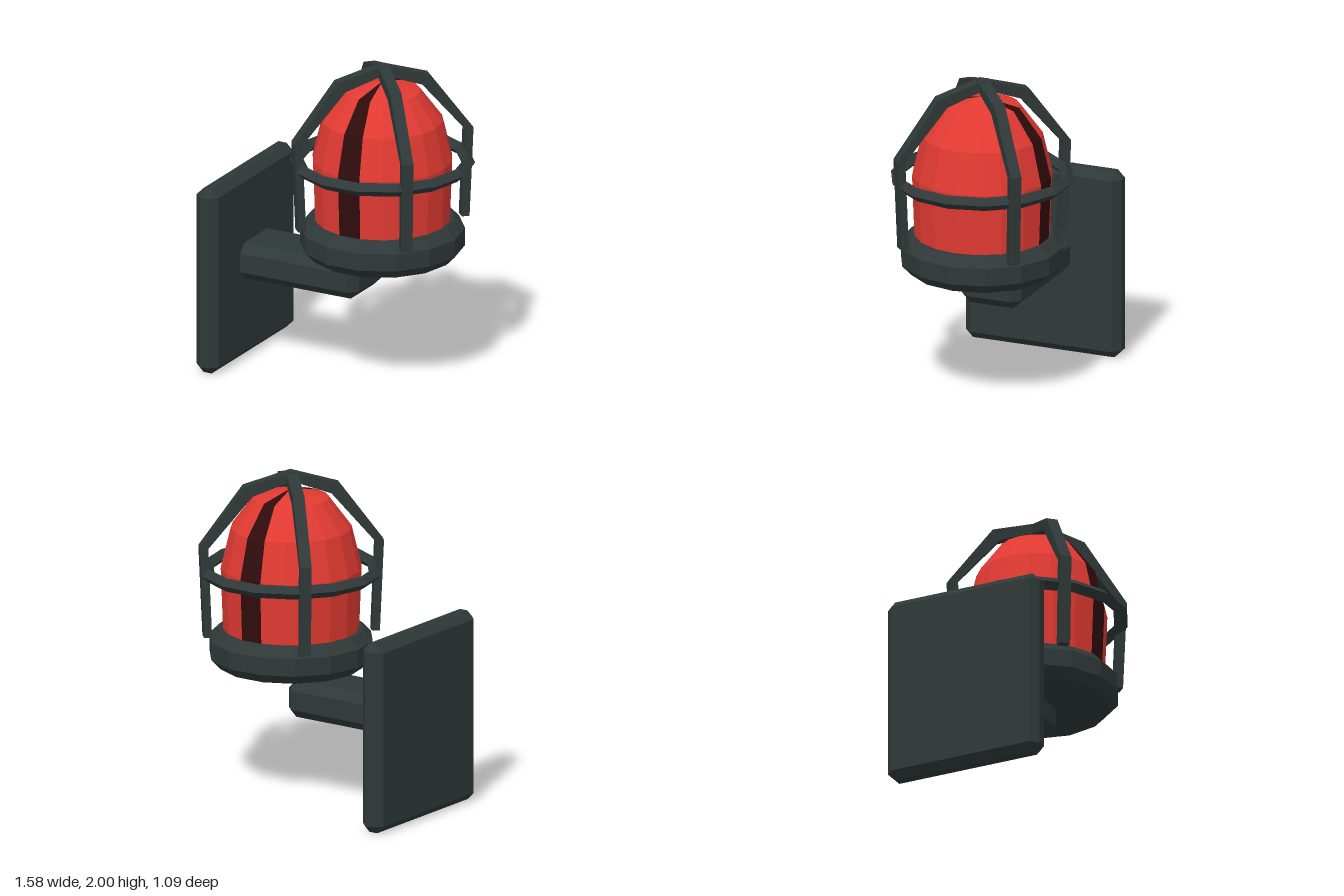
import * as THREE from 'three';
import { ConvexGeometry } from 'three/addons/geometries/ConvexGeometry.js';

const LAMP_X = 0.23;

// Faceted shading for an indexed geometry
function faceted(geometry) {
  const flat = geometry.index ? geometry.toNonIndexed() : geometry;
  flat.computeVertexNormals();
  return flat;
}

// Box given by its limits, with every edge cut at 45 degrees
function chamferBox(min, max, cut) {
  const half = min.map((v, i) => (max[i] - v) / 2);
  const points = [];
  for (let axis = 0; axis < 3; axis++)
    for (const sx of [-1, 1]) for (const sy of [-1, 1]) for (const sz of [-1, 1]) {
      const p = [sx, sy, sz].map((s, i) => s * (half[i] - (i === axis ? 0 : cut)));
      points.push(new THREE.Vector3(...p));
    }
  const geometry = new ConvexGeometry(points);
  geometry.translate(...min.map((v, i) => (v + max[i]) / 2));
  return geometry;
}

// Turned part with a corner on the x axis
function turned(profile, sides) {
  const points = profile.map(([r, y]) => new THREE.Vector2(r, y));
  return new THREE.LatheGeometry(points, sides, Math.PI / 2);
}

export function createModel() {
  const metal = new THREE.MeshStandardMaterial({ color: 0x2f3838 });
  metal.name = 'darkMetal';
  const red = new THREE.MeshStandardMaterial({ color: 0xe23a32 });
  red.name = 'redGlass';
  const dark = new THREE.MeshStandardMaterial({ color: 0x300c0c });
  dark.name = 'darkRed';

  const model = new THREE.Group();
  model.name = 'cagedWallLamp';
  const add = (parent, name, geometry, material) => {
    const mesh = new THREE.Mesh(geometry, material);
    mesh.name = name;
    parent.add(mesh);
    return mesh;
  };

  // Wall bracket
  add(model, 'wallPlate', chamferBox([-0.79, 0, -0.51], [-0.64, 1.18, 0.51], 0.047), metal);
  add(model, 'arm', chamferBox([-0.7, 0.515, -0.195], [0.145, 0.745, 0.195], 0.055), metal);

  const lamp = new THREE.Group();
  lamp.name = 'lamp';
  lamp.position.x = LAMP_X;
  model.add(lamp);

  // Base dish
  const base = turned([[0, 0.79], [0.44, 0.79], [0.498, 0.85], [0.498, 0.96], [0.44, 1.02], [0, 1.02]], 14);
  add(lamp, 'base', faceted(base), metal);

  // Glass dome, with one dark facet column at the front and one at the back
  const dome = [[0.41, 1], [0.425, 1.4], [0.365, 1.65], [0.228, 1.835], [0, 1.89]];
  const sides = 18;
  const glass = turned(dome, sides);
  const perColumn = 6 * (dome.length - 1);
  for (let i = 0; i < sides; i++)
    glass.addGroup(i * perColumn, perColumn, i === 4 || i === 13 ? 1 : 0);
  add(lamp, 'glassDome', faceted(glass), [red, dark]);

  // Cage: two crossing arches and a ring
  const outer = [[0.535, 0.985], [0.56, 1.55], [0.29, 1.915]];
  const inner = [[0.24, 1.855], [0.51, 1.54], [0.487, 0.985]];
  const half = [...outer, [0, 2], [0, 1.94], ...inner];
  const mirrored = (list) => list.map(([x, y]) => [-x, y]).reverse();
  const outline = [...outer, [0, 2], ...mirrored(outer), ...mirrored(inner), half[4], ...inner];
  const arch = new THREE.Shape(outline.map(([x, y]) => new THREE.Vector2(x, y)));
  for (const side of [-1, 1]) {
    const bar = new THREE.ExtrudeGeometry(arch, { depth: 0.07, bevelEnabled: false });
    bar.translate(0, 0, -0.035);
    add(lamp, 'cageArch', faceted(bar), metal).rotation.y = side * Math.PI / 4;
  }
  const ring = new THREE.TorusGeometry(0.517, 0.042, 4, 14);
  ring.rotateX(Math.PI / 2);
  ring.translate(0, 1.38, 0);
  add(lamp, 'cageRing', faceted(ring), metal);

  return model;
}
